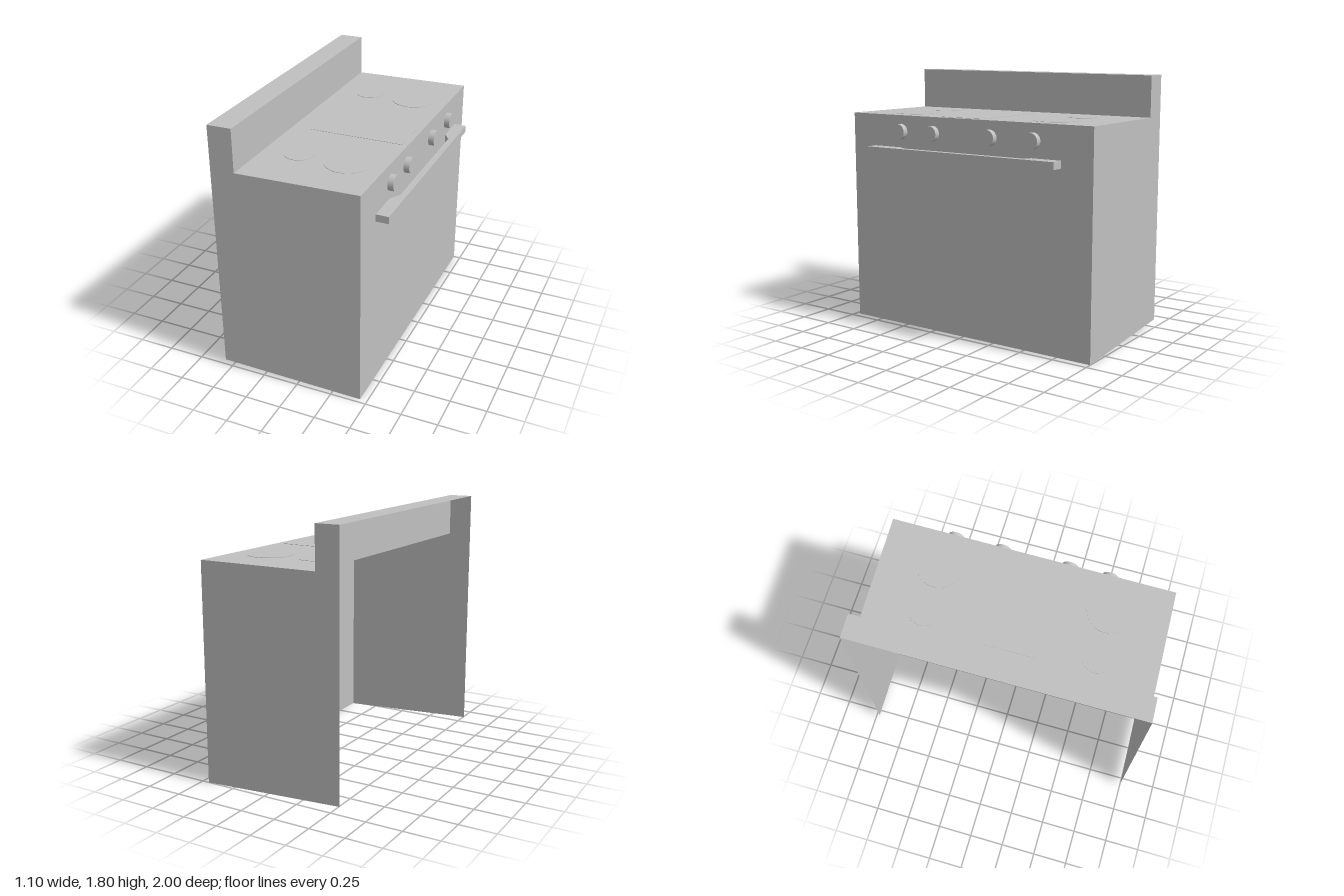
import * as THREE from 'three';

export function createModel() {
  const model = new THREE.Group();
  const steel = new THREE.MeshStandardMaterial({ color: 0xc0c0c0, side: THREE.DoubleSide });
  steel.name = 'steel grey';

  const add = (name, geometry, x = 0, y = 0, z = 0) => {
    const mesh = new THREE.Mesh(geometry, steel);
    mesh.name = name;
    mesh.position.set(x, y, z);
    model.add(mesh);
    return mesh;
  };

  // Flat sheet: a fan of triangles around its first corner
  const sheet = (name, corners) => {
    const points = [];
    for (let i = 1; i < corners.length - 1; i++) points.push(corners[0], corners[i], corners[i + 1]);
    const geometry = new THREE.BufferGeometry().setFromPoints(points);
    geometry.computeVertexNormals();
    add(name, geometry);
  };

  // Slightly skewed body profile, from the foot of the splashback round the side
  const back = -0.55, step = -0.385, front = 0.45;
  const profile = [[step, 1.505], [front, 1.51], [front, 0], [back, 0.04], [back, 1.8], [step, 1.8]];
  const onSide = (side) => profile.map(([x, y]) => new THREE.Vector3(
    x,
    y > 1.6 && side < 0 ? y - 0.01 : y,
    (side > 0 ? 1 : -0.97) - 0.03 * (x - back)));
  const near = onSide(1), far = onSide(-1);

  // Body: open at the back and underneath
  sheet('nearSidePanel', [near[0], ...near.slice(1).reverse()]);
  sheet('farSidePanel', far);
  const span = (name, a, b) => sheet(name, [near[a], near[b], far[b], far[a]]);
  span('cooktop', 0, 1);
  span('ovenFront', 1, 2);
  span('splashbackTop', 4, 5);
  span('splashbackFront', 5, 0);

  // Burners and centre plate, nearly flush with the cooktop
  for (const z of [-0.585, 0.585]) {
    add('smallBurner', new THREE.CylinderGeometry(0.1, 0.1, 0.004, 40), -0.14, 1.507, z);
    add('largeBurner', new THREE.CylinderGeometry(0.155, 0.155, 0.004, 48), 0.2, 1.509, z);
  }
  const plate = add('griddlePlate', new THREE.BoxGeometry(0.66, 0.004, 0.34), 0.08, 1.508, 0.03);
  plate.rotation.z = 0.006;

  // Control knobs
  for (const z of [0.52, 0.24, -0.235, -0.57]) {
    const knob = add('knob', new THREE.CylinderGeometry(0.054, 0.054, 0.04, 32), 0.48, 1.397, z);
    knob.rotation.z = -Math.PI / 2;
  }

  // Door handle: a bar with tapered mounts, drawn in plan (x, -z) and raised
  const plan = new THREE.Shape([
    [0.46, -0.76], [0.548, -0.76], [0.548, 0.775], [0.46, 0.775],
    [0.46, 0.56], [0.505, 0.5], [0.505, -0.46], [0.46, -0.53],
  ].map(([x, z]) => new THREE.Vector2(x, z)));
  const bar = new THREE.ExtrudeGeometry(plan, { depth: 0.05, bevelEnabled: false });
  bar.rotateX(-Math.PI / 2);
  add('handle', bar, 0, 1.236, 0);

  return model;
}
